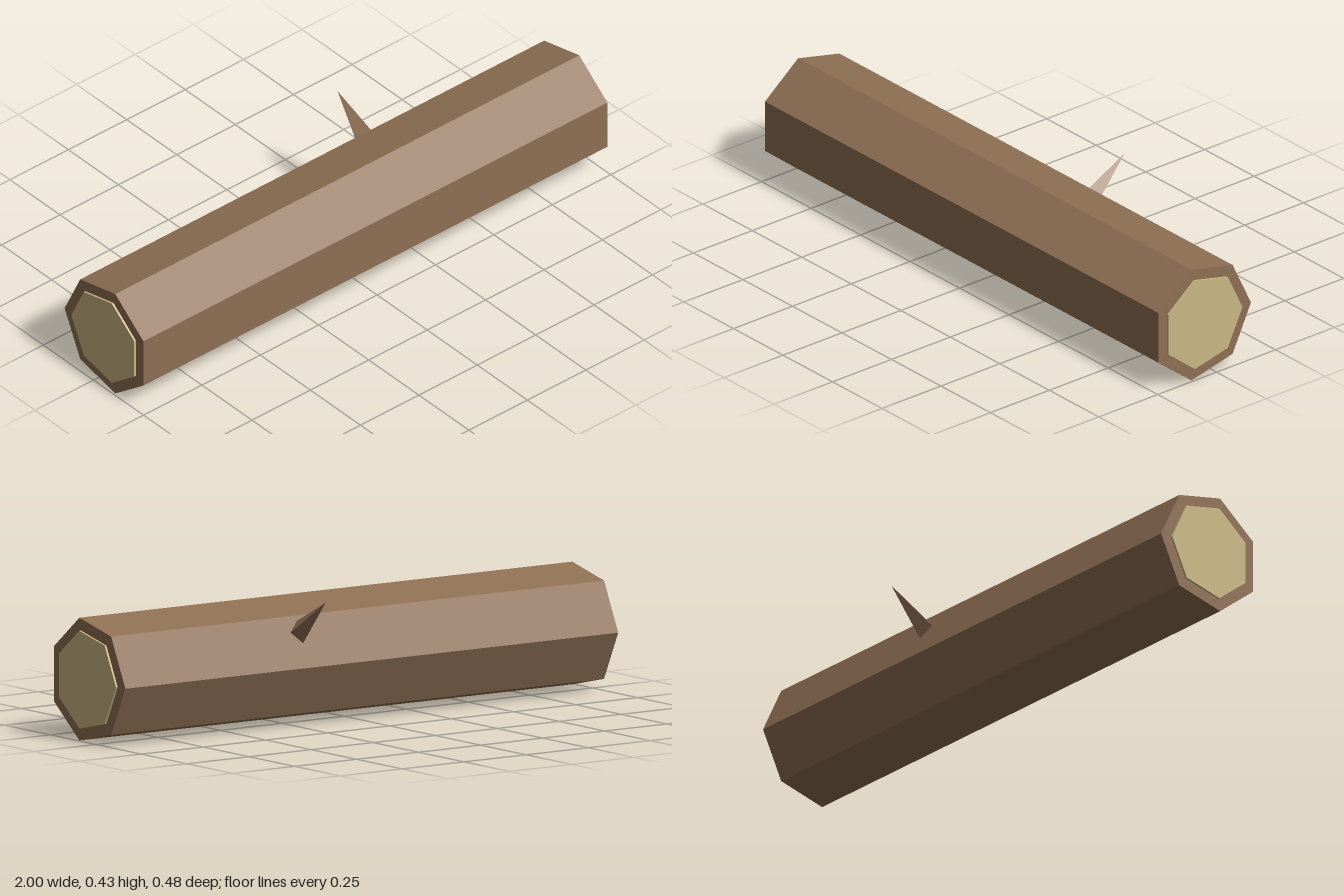
import * as THREE from 'three';

const CENTER_Y = 0.202;
const CENTER_Z = 0.055;

// Seven-sided prism lying along x, with one ridge pointing to the back
function prism(radius, length) {
  return new THREE.CylinderGeometry(radius, radius, length, 7)
    .rotateY(Math.PI)
    .rotateZ(Math.PI / 2);
}

export function createModel() {
  const bark = new THREE.MeshStandardMaterial({ name: 'bark brown', color: 0x8f7054, flatShading: true });
  const wood = new THREE.MeshStandardMaterial({ name: 'cut wood tan', color: 0xcab784, flatShading: true });

  const group = new THREE.Group();
  group.name = 'log';
  function add(name, geometry, material, x, y, z) {
    const mesh = new THREE.Mesh(geometry, material);
    mesh.name = name;
    mesh.position.set(x, y, z);
    group.add(mesh);
    return mesh;
  }

  // Trunk
  add('trunk', prism(0.207, 1.986), bark, 0, CENTER_Y, CENTER_Z);

  // Cut faces, standing slightly proud of both ends
  for (const side of [-1, 1]) {
    add(side > 0 ? 'leftCutFace' : 'rightCutFace', prism(0.165, 0.009), wood,
      side * 0.9955, CENTER_Y, CENTER_Z);
  }

  // Pointed twig on the upper back face, its base sunk into the trunk
  const length = 0.225;
  const tilt = 0.897;
  const twig = new THREE.ConeGeometry(0.0465, length, 4)
    .translate(0, -length / 2, 0)
    .rotateX(-tilt);
  add('twig', twig, bark, 0.25, 0.428, -0.24);

  return group;
}
